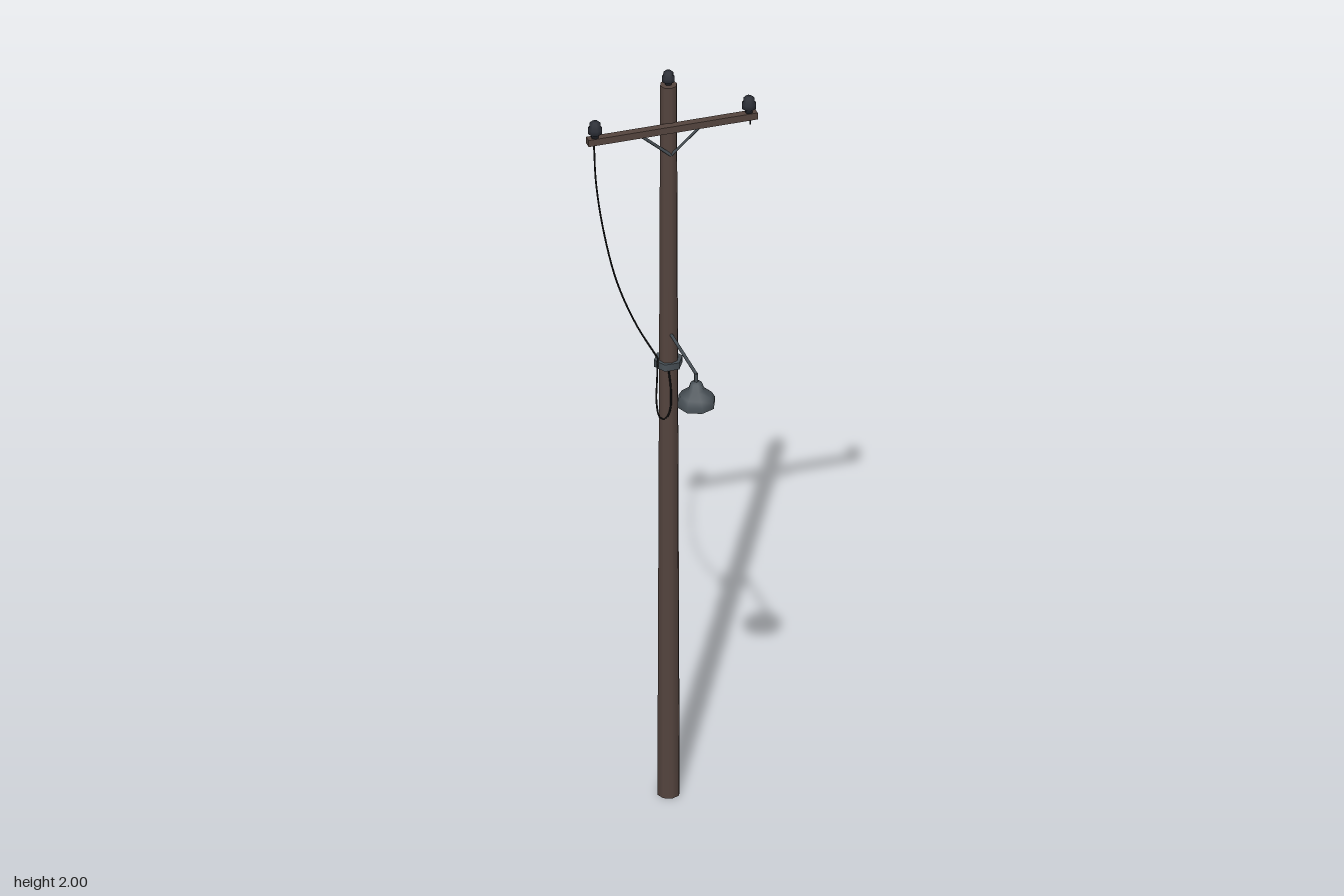
import * as THREE from 'three';

const makeMat = (name, color, extra = {}) => {
  const m = new THREE.MeshStandardMaterial({ color, ...extra });
  m.name = name;
  return m;
};
const V = (x, y, z) => new THREE.Vector3(x, y, z);
const POLE_Z = -0.115;
const ARM_Z = -0.088;

export function createModel() {
  const wood = makeMat('brown wood', 0x54443e);
  const metal = makeMat('grey metal', 0x485056, { side: THREE.DoubleSide });
  const ceramic = makeMat('dark ceramic', 0x2a2d35);
  const cable = makeMat('black cable', 0x1c1c1e);
  const model = new THREE.Group();

  const add = (name, geo, mat, x = 0, y = 0, z = 0) => {
    const mesh = new THREE.Mesh(geo, mat);
    mesh.name = name;
    mesh.position.set(x, y, z);
    model.add(mesh);
    return mesh;
  };
  const lathe = (points, sides) =>
    new THREE.LatheGeometry(points.map(([r, y]) => new THREE.Vector2(r, y)), sides);
  const rod = (name, a, b, r, mat, sides = 6) => {
    const mesh = add(name, new THREE.CylinderGeometry(r, r, a.distanceTo(b), sides), mat);
    mesh.position.copy(a).lerp(b, 0.5);
    mesh.quaternion.setFromUnitVectors(V(0, 1, 0), b.clone().sub(a).normalize());
  };

  // Tapered pole
  add('pole', new THREE.CylinderGeometry(0.021, 0.028, 1.963, 8), wood, 0, 0.9815, POLE_Z);

  // Crossarm and its diagonal braces
  add('crossarm', new THREE.BoxGeometry(0.424, 0.018, 0.019), wood, 0, 1.857, ARM_Z);
  for (const s of [-1, 1]) {
    rod('crossarmBrace', V(s * 0.085, 1.852, -0.098), V(0, 1.778, -0.095), 0.004, metal, 4);
  }

  // Insulators: flared skirt, waist and domed cap
  const insulator = lathe([
    [0, 0], [0.009, 0], [0.01, 0.008], [0.018, 0.014], [0.018, 0.026],
    [0.014, 0.03], [0.014, 0.039], [0.008, 0.045], [0, 0.046],
  ], 8);
  for (const s of [-1, 1]) {
    add('armInsulator', insulator, ceramic, s * 0.193, 1.865, ARM_Z);
    rod('insulatorPin', V(s * 0.196, 1.832, ARM_Z), V(s * 0.196, 1.866, ARM_Z), 0.002, cable, 4);
  }
  add('topInsulator', insulator, ceramic, 0, 1.96, -0.117).scale.set(0.9, 0.87, 0.9);

  // Hexagonal clamp band
  add('clampBand', new THREE.CylinderGeometry(0.036, 0.036, 0.018, 6, 1, false, Math.PI / 2),
    metal, 0, 1.195, -0.118);

  // Lamp bracket and bell-shaped shade
  rod('lampArm', V(0, 1.281, -0.115), V(0, 1.281, 0.103), 0.004, metal);
  rod('lampStem', V(0, 1.283, 0.1), V(0, 1.25, 0.1), 0.005, metal);
  add('lampShade', lathe([
    [0.047, 0], [0.047, 0.014], [0.039, 0.028], [0.02, 0.043], [0.014, 0.06], [0, 0.066],
  ], 8), metal, 0, 1.197, 0.1);

  // Hanging cable, ending in a slack loop under the clamp
  const wire = (name, points, segments) => add(name, new THREE.TubeGeometry(
    new THREE.CatmullRomCurve3(points), segments, 0.0022, 4), cable);
  wire('hangingCable', [
    V(-0.196, 1.865, -0.088), V(-0.19, 1.74, -0.09), V(-0.17, 1.6, -0.093),
    V(-0.135, 1.45, -0.098), V(-0.085, 1.32, -0.103), V(-0.03, 1.215, -0.106),
  ], 24);
  wire('cableLoop', [
    V(-0.03, 1.215, -0.106), V(-0.035, 1.17, -0.095), V(-0.038, 1.1, -0.09),
    V(-0.03, 1.06, -0.088), V(-0.018, 1.054, -0.087), V(-0.006, 1.075, -0.086),
    V(-0.003, 1.13, -0.087), V(-0.008, 1.19, -0.09),
  ], 24);

  return model;
}
